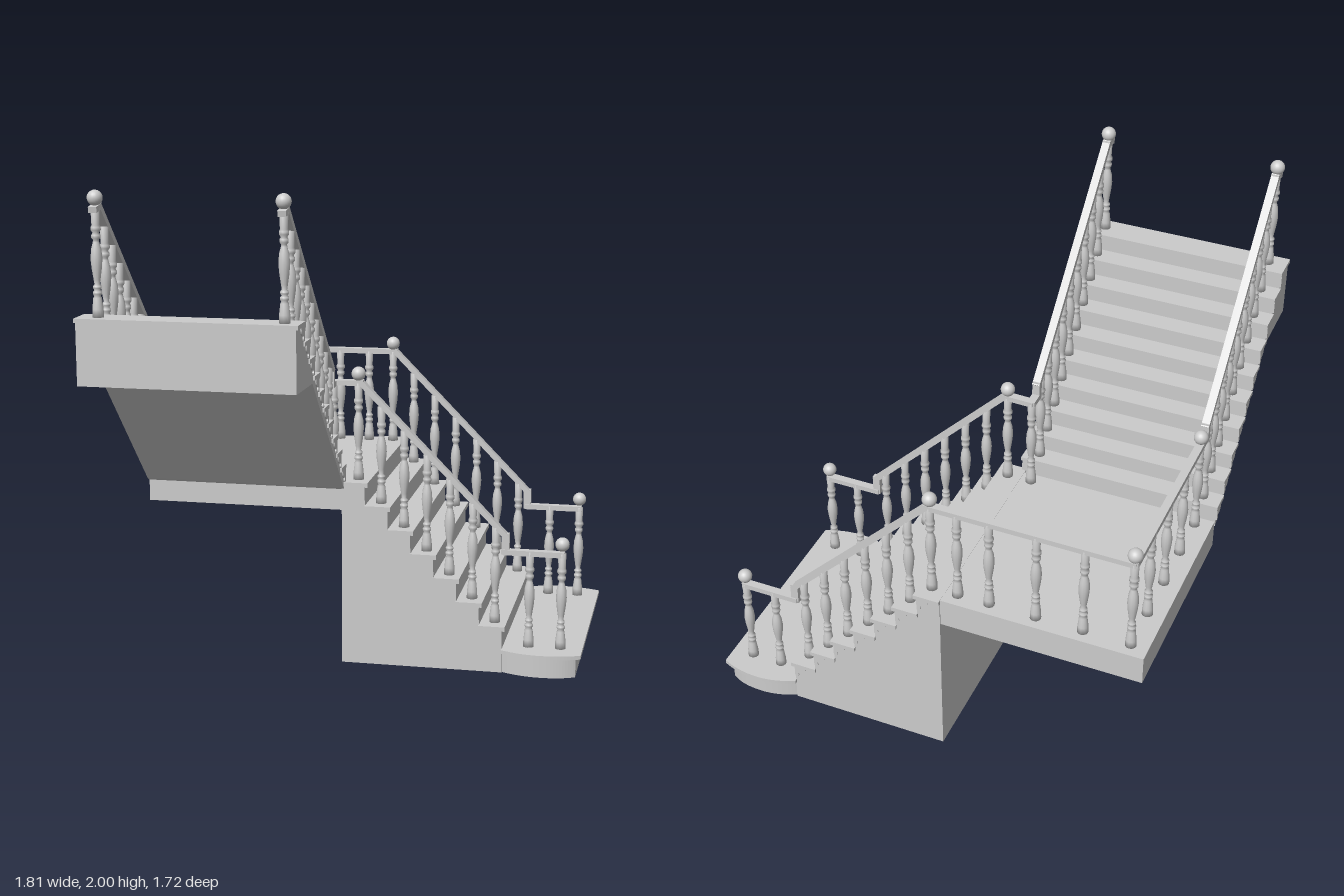
import * as THREE from 'three';

const mat = new THREE.MeshStandardMaterial({ color: 0xcccccc });
const V = (x, y, z) => new THREE.Vector3(x, y, z);

function add(parent, name, geo, x = 0, y = 0, z = 0) {
  const m = new THREE.Mesh(geo, mat);
  m.name = name;
  m.position.set(x, y, z);
  parent.add(m);
  return m;
}

function box(parent, name, x0, x1, y0, y1, z0, z1) {
  return add(parent, name, new THREE.BoxGeometry(x1 - x0, y1 - y0, z1 - z0),
    (x0 + x1) / 2, (y0 + y1) / 2, (z0 + z1) / 2);
}

function extrude(shape, depth) {
  return new THREE.ExtrudeGeometry(shape, { depth, bevelEnabled: false, curveSegments: 12 });
}

const polygon = pts => new THREE.Shape(pts.map(p => new THREE.Vector2(p[0], p[1])));

// Turned baluster: plinth, rings, vase, rings and upper shaft
const balusterGeo = new THREE.LatheGeometry([
  [0, 0], [0.022, 0], [0.021, 0.03], [0.016, 0.072], [0.012, 0.078], [0.017, 0.086],
  [0.017, 0.094], [0.011, 0.1], [0.016, 0.108], [0.016, 0.114], [0.010, 0.122],
  [0.013, 0.14], [0.019, 0.18], [0.022, 0.215], [0.019, 0.25], [0.012, 0.276],
  [0.011, 0.284], [0.017, 0.292], [0.017, 0.302], [0.012, 0.31], [0.019, 0.32],
  [0.019, 0.33], [0.015, 0.338], [0.017, 0.4], [0, 0.4],
].map(p => new THREE.Vector2(...p)), 12);
const ballGeo = new THREE.SphereGeometry(0.029, 20, 14);

function baluster(g, x, y, z, newel = false) {
  add(g, newel ? 'newel' : 'baluster', balusterGeo, x, y, z);
  if (newel) add(g, 'newelBall', ballGeo, x, y + 0.437, z);
}

// Flat handrail bars following a list of points
function rail(g, pts) {
  for (let i = 1; i < pts.length; i++) {
    const a = pts[i - 1], b = pts[i];
    const bar = add(g, 'handrail', new THREE.BoxGeometry(0.032, 0.022, a.distanceTo(b) + 0.02));
    bar.position.copy(a).add(b).multiplyScalar(0.5);
    // A vertical drop keeps its narrow side along the run
    if (Math.abs(a.x - b.x) + Math.abs(a.z - b.z) < 1e-6) bar.rotation.x = Math.PI / 2;
    else bar.lookAt(b);
  }
}

// Scroll bracket; u runs inwards from the riser, y down from the tread
function bracketShape() {
  const s = new THREE.Shape();
  s.moveTo(0, 0);
  s.lineTo(0, -0.055);
  s.quadraticCurveTo(0.016, -0.062, 0.017, -0.045);
  s.quadraticCurveTo(0.01, -0.03, 0.03, -0.034);
  s.quadraticCurveTo(0.048, -0.026, 0.05, 0);
  s.closePath();
  return s;
}
const bracketGeo = extrude(bracketShape(), 0.008);

function firstStepShape(inset) {
  const s = new THREE.Shape();
  const x1 = 0.905 - inset, h = 0.453 - inset;
  s.moveTo(0.58, -h + 0.005);
  s.quadraticCurveTo(0.66, -h - 0.036, 0.74, -h - 0.036);
  s.quadraticCurveTo(0.83, -h - 0.036, x1, -h);
  s.lineTo(x1, h);
  s.quadraticCurveTo(0.83, h + 0.036, 0.74, h + 0.036);
  s.quadraticCurveTo(0.66, h + 0.036, 0.58, h - 0.005);
  s.closePath();
  return s;
}

function lowerFlight() {
  const g = new THREE.Group();
  g.name = 'lowerFlight';
  const rise = 0.0953, run = 0.0945, zMid = -0.375;
  const nose = k => 0.595 - (k - 2) * run;
  const top = k => 0.1 + (k - 1) * rise;

  // Solid stepped body
  const pts = [[-0.08, 0], [0.585, 0]];
  for (let k = 2; k <= 8; k++) pts.push([nose(k) - 0.012, top(k - 1)], [nose(k) - 0.012, top(k) - 0.01]);
  pts.push([-0.08, top(8) - 0.01]);
  add(g, 'stairBody', extrude(polygon(pts), 0.87), 0, 0, zMid - 0.435);

  // Bowed first step
  for (const [name, inset, y, h] of [['firstStepBase', 0.022, 0, 0.084], ['firstStepTread', 0, 0.084, 0.016]]) {
    const m = add(g, name, extrude(firstStepShape(inset), h), 0, y + h, zMid);
    m.rotation.x = Math.PI / 2;
  }

  // Treads with a bracket under each end
  for (let k = 2; k <= 8; k++) {
    const x0 = k === 8 ? -0.08 : nose(k + 1) - 0.015;
    box(g, 'tread', x0, nose(k), top(k) - 0.018, top(k), zMid - 0.445, zMid + 0.445);
    for (const s of [-1, 1]) {
      const b = add(g, 'bracket', bracketGeo, nose(k) - 0.012, top(k) - 0.018, zMid + s * 0.435 + 0.004);
      b.rotation.y = Math.PI;
      if (s > 0) b.position.z += 0.004;
      else b.position.z -= 0.0005;
    }
  }

  // Balusters on both sides
  for (const z of [0, -0.75]) {
    baluster(g, 0.815, 0.1, z, true);
    baluster(g, 0.685, 0.1, z);
    for (let k = 2; k <= 8; k++) baluster(g, nose(k) - 0.05, top(k), z, k === 8);
  }
  return g;
}

function upperFlight() {
  const g = new THREE.Group();
  g.name = 'upperFlight';
  const rise = 0.0768, run = 0.0772, x0 = -0.9, x1 = -0.07;
  const nose = k => 0.045 + k * run;
  const top = k => 0.84 + k * rise;

  // Stepped body with sloping underside
  const pts = [[0.86, 1.28], [0.86, top(9) - 0.01]];
  for (let k = 9; k >= 0; k--) {
    pts.push([nose(k) + 0.01, top(k) - 0.01], [nose(k) + 0.01, k ? top(k - 1) - 0.01 : 0.735]);
  }
  pts.push([0.07, 0.745], [0.61, 1.275]);
  add(g, 'stairBody', extrude(polygon(pts), x1 - x0), x1, 0, 0).rotation.y = -Math.PI / 2;

  for (let k = 0; k < 10; k++) {
    const z1 = k === 9 ? 0.86 : nose(k + 1) + 0.012;
    box(g, 'tread', x0 - 0.007, x1 + 0.007, top(k) - 0.016, top(k), nose(k), z1);
    for (const x of [x0 + 0.002, x1 + 0.006]) {
      add(g, 'bracket', bracketGeo, x, top(k) - 0.016, nose(k) + 0.01).rotation.y = -Math.PI / 2;
    }
    for (const x of [-0.83, -0.125]) {
      baluster(g, x, top(k), k === 9 ? 0.805 : nose(k) + 0.05, k === 9);
    }
  }
  return g;
}

function landing() {
  const g = new THREE.Group();
  g.name = 'landing';
  box(g, 'landingSlab', -0.9, -0.07, 0.645, 0.766, -0.805, 0.045);
  const y = 0.766;
  baluster(g, -0.83, y, -0.75, true);
  baluster(g, -0.83, y, 0, true);
  for (const x of [-0.64, -0.45, -0.26, -0.13]) baluster(g, x, y, -0.75);
  for (const z of [-0.565, -0.375, -0.185]) baluster(g, -0.83, y, z);
  baluster(g, -0.125, y, 0);
  return g;
}

function handrails() {
  const g = new THREE.Group();
  g.name = 'handrails';
  const low = z => [V(0.815, 0.494, z), V(0.585, 0.494, z), V(0.585, 0.562, z), V(-0.01, 1.168, z)];
  const high = x => [V(x, 1.165, 0.055), V(x, 1.225, 0.055), V(x, 1.935, 0.785), V(x, 1.928, 0.825)];
  // Inner rail turns the corner, outer rail goes round the landing
  rail(g, [...low(0), V(-0.125, 1.165, 0), ...high(-0.125)]);
  rail(g, [...low(-0.75), V(-0.83, 1.165, -0.75), V(-0.83, 1.165, 0), ...high(-0.83)]);
  return g;
}

export function createModel() {
  const model = new THREE.Group();
  model.name = 'staircase';
  model.add(lowerFlight(), upperFlight(), landing(), handrails());
  return model;
}
